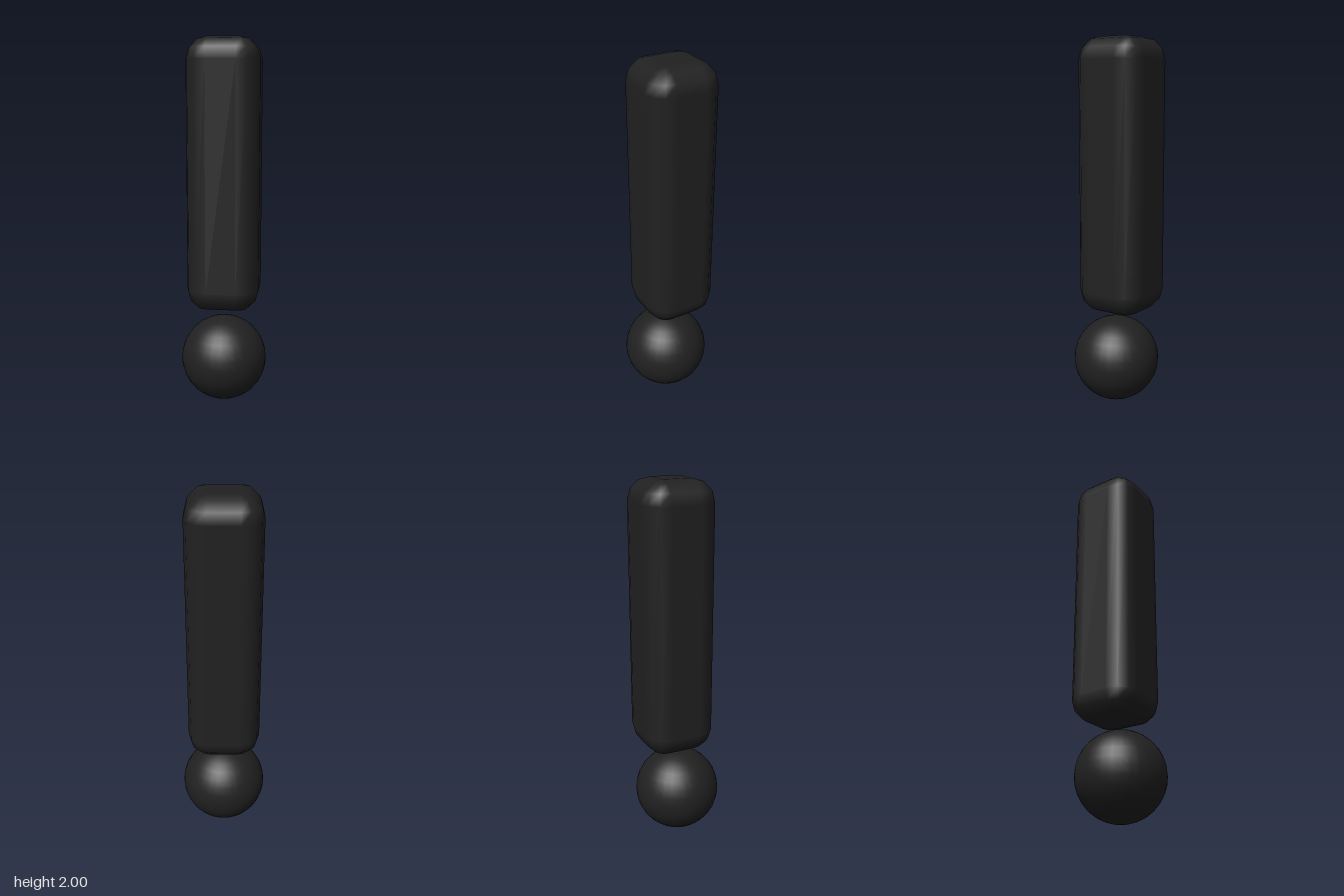
import * as THREE from 'three';

// Box with a three-step rounded bevel: a grid wrapped round the box, rows running top to bottom.
function bevelledBox(halfWidth, halfHeight, radius) {
  const flat = halfWidth - radius, rise = halfHeight - radius;
  const geometry = new THREE.PlaneGeometry(1, 1, 16, 9);
  const { position, normal } = geometry.attributes;
  for (let row = 0; row <= 9; row++) {
    for (let col = 0; col <= 16; col++) {
      const i = row * 17 + col;
      const side = row < 5 ? 1 : -1;
      if (row === 0 || row === 9) { // centre of the end cap
        position.setXYZ(i, 0, side * halfHeight, 0);
        normal.setXYZ(i, 0, side, 0);
        continue;
      }
      const quarter = Math.floor(col / 4) % 4;
      const around = quarter * Math.PI / 2 + (col % 4) * Math.PI / 6;
      const r = row - 1;
      const down = Math.floor(r / 4) * Math.PI / 2 + (r % 4) * Math.PI / 6;
      const nx = Math.sin(down) * Math.sin(around);
      const ny = Math.cos(down);
      const nz = Math.sin(down) * Math.cos(around);
      const sx = quarter < 2 ? 1 : -1;
      const sz = quarter === 0 || quarter === 3 ? 1 : -1;
      position.setXYZ(i, sx * flat + nx * radius, side * rise + ny * radius, sz * flat + nz * radius);
      normal.setXYZ(i, nx, ny, nz);
    }
  }
  return geometry;
}

export function createModel() {
  const group = new THREE.Group();
  group.name = 'exclamationMark';
  const black = new THREE.MeshStandardMaterial({ color: 0x212121 });
  black.name = 'black';

  // Upright bar, slightly turned and set back
  const bar = new THREE.Mesh(bevelledBox(0.197, 0.7375, 0.117), black);
  bar.name = 'bar';
  bar.position.set(-0.007, 1.2625, -0.035);
  bar.rotation.y = THREE.MathUtils.degToRad(10);
  group.add(bar);

  // Round dot below
  const dot = new THREE.Mesh(new THREE.SphereGeometry(0.237, 32, 16), black);
  dot.name = 'dot';
  dot.position.y = 0.237;
  group.add(dot);

  return group;
}
